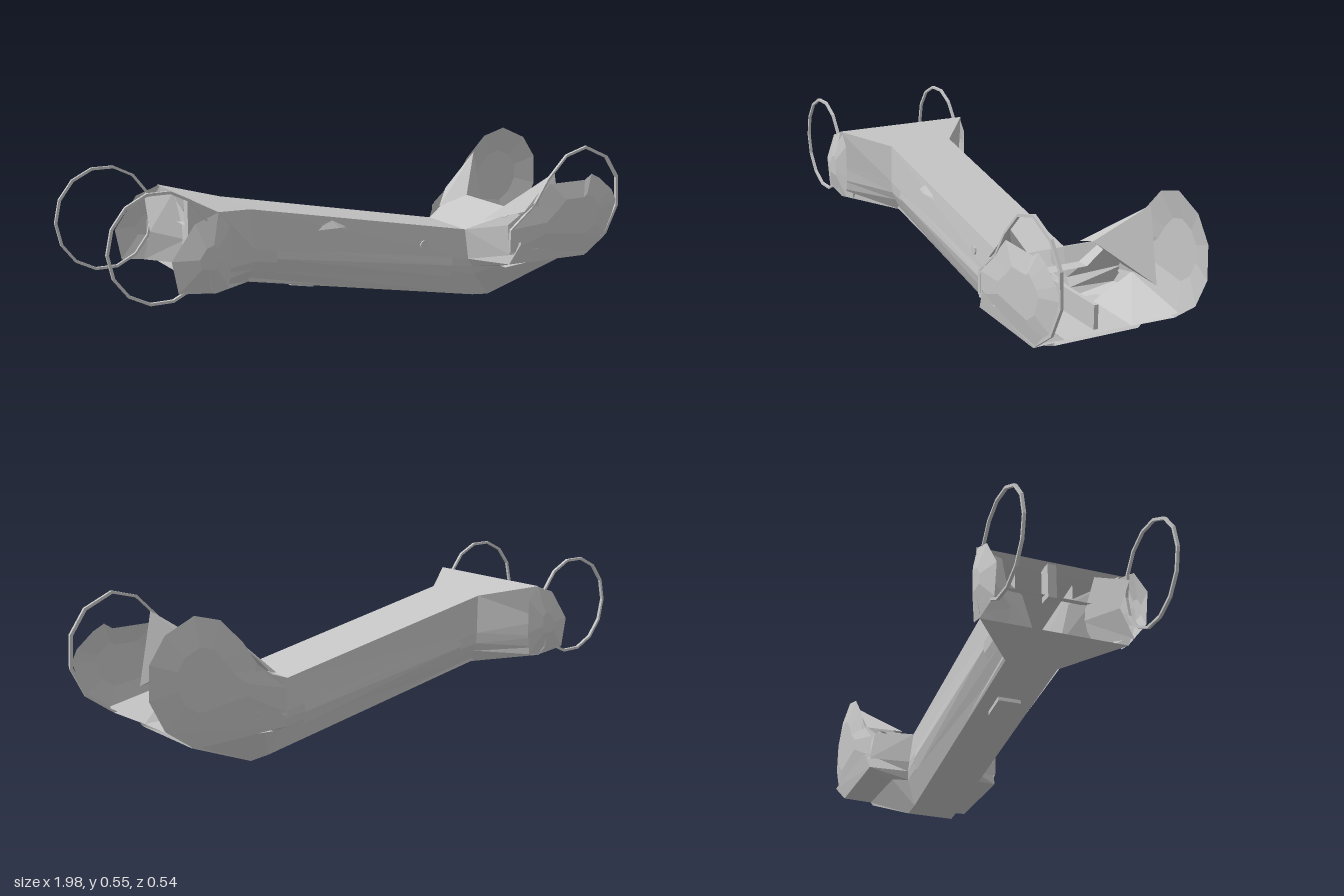
import * as THREE from 'three';

const steel = new THREE.MeshStandardMaterial({ color: 0xc6c6c6, side: THREE.DoubleSide, flatShading: true });
steel.name = 'light grey steel';

// Folded sheet through rows of [x, y, z] points
function sheet(rows, closed = false) {
  const pos = [];
  for (let i = 0; i < rows.length - 1; i++) {
    const a = rows[i], b = rows[i + 1], n = a.length;
    for (let j = 0; j < (closed ? n : n - 1); j++) {
      const k = (j + 1) % n;
      pos.push(...a[j], ...b[j], ...b[k], ...a[j], ...b[k], ...a[k]);
    }
  }
  const g = new THREE.BufferGeometry();
  g.setAttribute('position', new THREE.Float32BufferAttribute(pos, 3));
  g.computeVertexNormals();
  return g;
}

const flip = ([x, y, z]) => [x, y, -z];
// Half section mirrored across z
const section = half => [...half, ...half.map(flip).reverse()];
const shrink = (pts, cx, cy, k) => pts.map(([x, y]) => [cx + (x - cx) * k, cy + (y - cy) * k]);
const atZ = (pts, z) => pts.map(([x, y]) => [x, y, z]);

// Shallow dished plate: rim, raised inner outline and flat middle
function dish(pts, cx, cy, k, rimZ, padZ) {
  const inner = shrink(pts, cx, cy, k);
  return sheet([atZ(pts, rimZ), atZ(inner, padZ), pts.map(() => [cx, cy, padZ])], true);
}

// Thin band following an outline
function band(points, z, depth, cx, cy, k) {
  const s = new THREE.Shape(points.map(p => new THREE.Vector2(...p)));
  s.holes.push(new THREE.Path(shrink(points, cx, cy, k).map(p => new THREE.Vector2(...p))));
  const g = new THREE.ExtrudeGeometry(s, { depth, bevelEnabled: false });
  g.translate(0, 0, z - depth / 2);
  return g;
}

function ellipse(cx, cy, rx, ry, n = 14) {
  return Array.from({ length: n }, (_, i) => {
    const a = (i / n) * Math.PI * 2;
    return [cx + rx * Math.cos(a), cy + ry * Math.sin(a)];
  });
}

export function createModel() {
  const model = new THREE.Group();
  model.name = 'linkArm';
  const add = (name, geometry) => {
    const m = new THREE.Mesh(geometry, steel);
    m.name = name;
    model.add(m);
    return m;
  };

  // Hollow sloping beam, flared at both ends
  add('beamShell', sheet([
    section([[-0.62, 0.47, 0.255], [-0.66, 0.34, 0.268], [-0.66, 0.28, 0.268], [-0.66, 0.24, 0.262], [-0.64, 0.21, 0.25]]),
    section([[-0.45, 0.435, 0.12], [-0.44, 0.3, 0.128], [-0.44, 0.26, 0.125], [-0.44, 0.23, 0.112], [-0.45, 0.185, 0.09]]),
    section([[0.4, 0.268, 0.115], [0.41, 0.16, 0.125], [0.43, 0.13, 0.124], [0.44, 0.1, 0.118], [0.46, 0.01, 0.085]]),
    section([[0.57, 0.335, 0.2], [0.54, 0.225, 0.262], [0.5, 0.155, 0.25], [0.52, 0.125, 0.155], [0.53, 0.003, 0.085]]),
  ], true));

  // Ramp rising under the right fork, with a ledge and side walls
  add('forkRamp', sheet([
    section([[0.54, 0.225, 0.262], [0.5, 0.155, 0.25], [0.52, 0.125, 0.155], [0.53, 0.003, 0.085]]),
    section([[0.92, 0.215, 0.268], [0.84, 0.148, 0.252], [0.8, 0.13, 0.155], [0.79, 0.115, 0.15]]),
  ]));

  // Floor between the fork cheeks
  add('forkFloor', sheet([
    section([[0.52, 0.13, 0.2]]),
    section([[0.8, 0.132, 0.155]]),
  ]));

  // Cross bars closing the top of each opening
  add('rightLintel', sheet([
    section([[0.57, 0.335, 0.2], [0.57, 0.255, 0.1]]),
    section([[0.52, 0.315, 0.19], [0.52, 0.255, 0.1]]),
  ], true));
  add('leftLintel', sheet([
    section([[-0.62, 0.468, 0.24], [-0.6, 0.36, 0.2]]),
    section([[-0.58, 0.455, 0.2], [-0.58, 0.36, 0.17]]),
  ], true));

  // Centre ribs in the two openings
  const forkRib = add('rightCentreRib', new THREE.BoxGeometry(0.24, 0.08, 0.015));
  forkRib.position.set(0.67, 0.18, 0.005);
  const endRib = add('leftCentreRib', new THREE.BoxGeometry(0.05, 0.12, 0.03));
  endRib.position.set(-0.6, 0.4, 0);

  // Outlines of the fork cheeks, end cheeks and eyes
  const disc = [[0.5, 0.2], [0.85, 0.155], [0.94, 0.22], [0.99, 0.32], [0.985, 0.43], [0.93, 0.51],
    [0.83, 0.555], [0.74, 0.53], [0.66, 0.45], [0.6, 0.36], [0.5, 0.28]];
  const lowDisc = [[0.5, 0.2], [0.85, 0.155], [0.94, 0.22], [0.98, 0.34], [0.96, 0.38], [0.9, 0.43],
    [0.86, 0.45], [0.83, 0.43], [0.67, 0.43], [0.6, 0.36], [0.5, 0.28]];
  const leftCheek = [[-0.78, 0.33], [-0.7, 0.44], [-0.62, 0.468], [-0.58, 0.42], [-0.58, 0.3],
    [-0.59, 0.22], [-0.64, 0.212], [-0.76, 0.225]];
  const eye = ellipse(-0.815, 0.376, 0.172, 0.179);

  add('backForkCheek', dish(disc, 0.82, 0.37, 0.5, -0.25, -0.27));
  add('frontForkCheek', dish(lowDisc, 0.8, 0.31, 0.5, 0.252, 0.268));
  add('frontForkEye', band(disc, 0.25, 0.01, 0.78, 0.36, 0.95));

  for (const [side, s] of [['front', 1], ['back', -1]]) {
    const m = pts => pts.map(([x, y, z]) => [x, y, z * s]);

    // Left end cheek and its thin eye ring
    add(side + 'LeftCheek', dish(leftCheek, -0.66, 0.33, 0.3, 0.25 * s, 0.272 * s));
    add(side + 'LeftEyeRing', band(eye, 0.247 * s, 0.01, -0.808, 0.376, 0.95));

    // Slanted stiffeners between top plate and cheeks
    add(side + 'RightGusset', sheet([
      m([[0.46, 0.3, 0.14], [0.57, 0.335, 0.12], [0.62, 0.26, 0.2]]),
      m([[0.56, 0.34, 0.25], [0.69, 0.47, 0.25], [0.74, 0.22, 0.25]]),
    ]));
    add(side + 'RightShoulder', sheet([
      m([[0.4, 0.268, 0.115], [0.41, 0.16, 0.125]]),
      m([[0.5, 0.295, 0.235], [0.5, 0.19, 0.252]]),
      m([[0.62, 0.38, 0.255], [0.62, 0.2, 0.26]]),
    ]));
    add(side + 'LeftGusset', sheet([
      m([[-0.6, 0.46, 0.16], [-0.58, 0.3, 0.12], [-0.6, 0.215, 0.15]]),
      m([[-0.67, 0.43, 0.25], [-0.67, 0.32, 0.21], [-0.68, 0.215, 0.25]]),
    ]));

    // Sloping plate from cheek down to the fork floor
    add(side + 'FloorFillet', sheet([
      m([[0.6, 0.22, 0.25], [0.58, 0.135, 0.12]]),
      m([[0.86, 0.17, 0.25], [0.8, 0.132, 0.12]]),
    ]));

    // Web narrowing the left opening
    add(side + 'LeftWeb', sheet([
      m([[-0.59, 0.44, 0.2], [-0.6, 0.21, 0.22]]),
      m([[-0.57, 0.36, 0.08], [-0.58, 0.205, 0.04]]),
    ]));

    // Inner ribs of the hollow beam
    add(side + 'InnerRib', sheet([
      m([[-0.56, 0.44, 0.1], [-0.56, 0.21, 0.1]]),
      m([[0.36, 0.26, 0.09], [0.4, 0.03, 0.08]]),
    ]));

    // Long side rail along the fold
    add(side + 'SideRail', sheet([
      m([[-0.36, 0.3, 0.126], [-0.36, 0.26, 0.13], [-0.36, 0.215, 0.112]]),
      m([[0.34, 0.175, 0.125], [0.34, 0.145, 0.13], [0.34, 0.1, 0.119]]),
    ]));
  }

  // Front tab, small boss and lower lug
  add('frontTab', sheet([
    [[-0.22, 0.335, 0.118], [-0.21, 0.35, 0.118]],
    [[-0.13, 0.34, 0.142], [-0.15, 0.365, 0.125]],
    [[-0.08, 0.325, 0.118], [-0.09, 0.335, 0.118]],
  ]));
  const boss = add('frontBoss', new THREE.CylinderGeometry(0.016, 0.016, 0.02, 8));
  boss.rotation.x = Math.PI / 2;
  boss.position.set(0.22, 0.235, 0.118);
  const lug = add('lowerLug', new THREE.BoxGeometry(0.09, 0.018, 0.08));
  lug.rotation.z = -0.19;
  lug.position.set(-0.22, 0.135, 0);

  return model;
}
